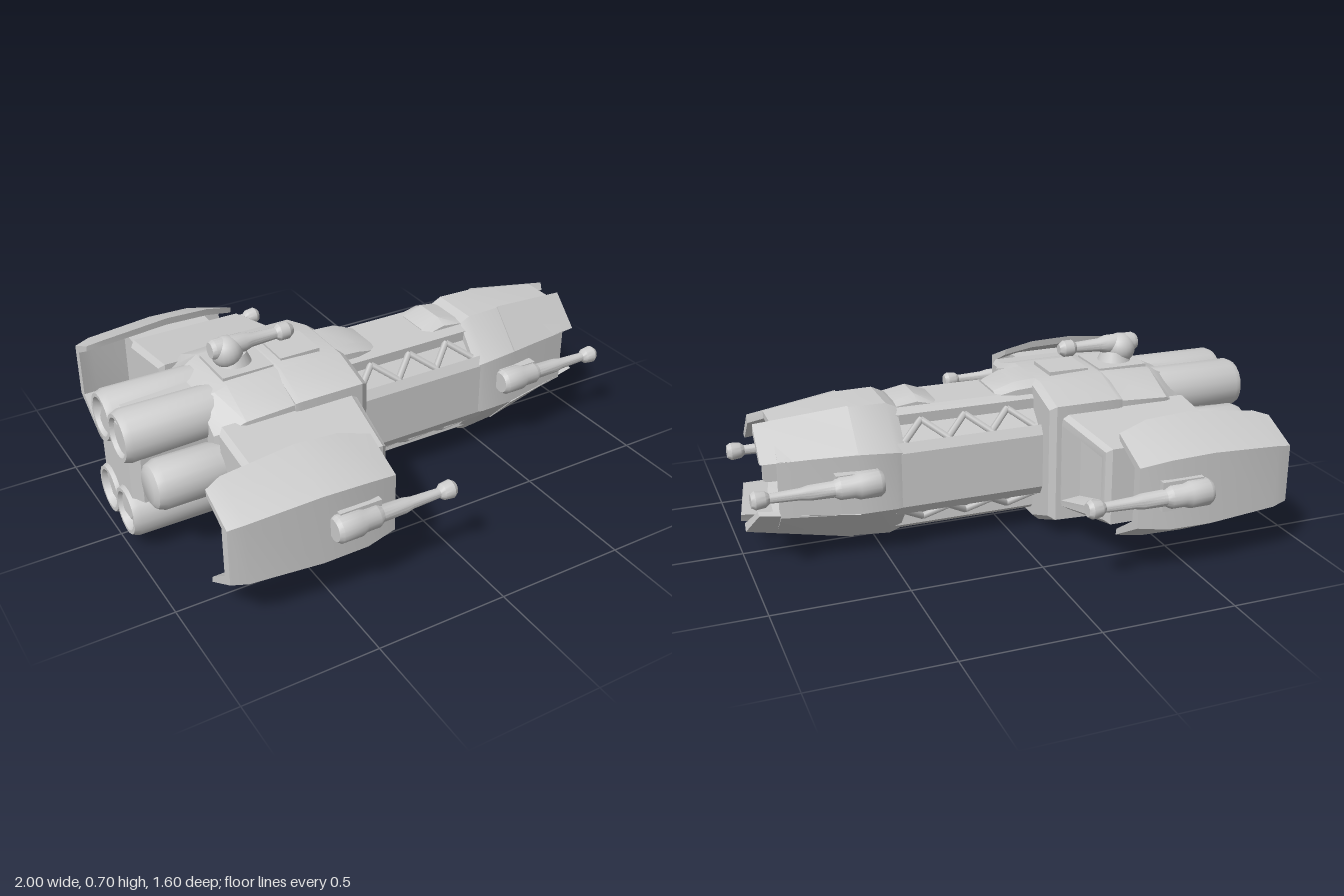
import * as THREE from 'three';
import { toCreasedNormals } from 'three/addons/utils/BufferGeometryUtils.js';

const grey = new THREE.MeshStandardMaterial({ color: 0xcccccc });

export function createModel() {
  const model = new THREE.Group();
  const add = (name, geo, x = 0, y = 0, z = 0) => {
    const mesh = new THREE.Mesh(geo, grey);
    mesh.name = name;
    mesh.position.set(x, y, z);
    model.add(mesh);
    return mesh;
  };
  const box = (name, x0, x1, y0, y1, z0, z1) =>
    add(name, new THREE.BoxGeometry(x1 - x0, y1 - y0, Math.abs(z1 - z0)), (x0 + x1) / 2, (y0 + y1) / 2, (z0 + z1) / 2);

  // Skin rings of [x, y, z] points, rear to front, and close both ends; side -1 mirrors in z
  const loft = (name, rings, side = 1, crease = 0.45) => {
    if (side < 0) rings = rings.map(r => r.map(([x, y, z]) => [x, y, -z]).reverse());
    const n = rings[0].length, pos = rings.flat(2), idx = [];
    for (let k = 0; k + 1 < rings.length; k++)
      for (let i = 0; i < n; i++) {
        const j = (i + 1) % n, a = k * n, b = a + n;
        idx.push(a + i, a + j, b + j, a + i, b + j, b + i);
      }
    const end = (rings.length - 1) * n;
    for (let i = 0; i < n / 2 - 1; i++) {
      const q = [i, i + 1, n - 2 - i, n - 1 - i];
      idx.push(...[0, 1, 2, 0, 2, 3].map(c => end + q[c]), ...[0, 2, 1, 0, 3, 2].map(c => q[c]));
    }
    const geo = new THREE.BufferGeometry();
    geo.setAttribute('position', new THREE.Float32BufferAttribute(pos, 3));
    geo.setIndex(idx);
    return add(name, toCreasedNormals(geo, crease));
  };

  // Symmetric ring from half-profile [z, y] points, top to bottom
  const ring = (x, half) => [...half.map(([z, y]) => [x, y, z]), ...half.map(([z, y]) => [x, y, -z]).reverse()];
  const oct = (x, w, flat, y0, y1, y2, y3) => ring(x, [[flat, y3], [w, y2], [w, y1], [flat, y0]]);

  // Turned part lying along x, profile as [distance forward, radius]
  const turned = (name, profile, x, y, z) => {
    const geo = new THREE.LatheGeometry(profile.map(([d, r]) => new THREE.Vector2(r, d)), 18);
    geo.rotateZ(-Math.PI / 2);
    return add(name, toCreasedNormals(geo, 0.6), x, y, z);
  };
  const strut = (name, a, b, r) =>
    add(name, new THREE.TubeGeometry(new THREE.LineCurve3(new THREE.Vector3(...a), new THREE.Vector3(...b)), 1, r, 6));

  // Main body, with a wider collar in front
  loft('mainBody', [
    oct(-0.7, 0.22, 0.1, 0.07, 0.15, 0.45, 0.54), oct(-0.645, 0.26, 0.12, 0.05, 0.12, 0.48, 0.56),
    oct(-0.6, 0.28, 0.13, 0.005, 0.08, 0.51, 0.58), oct(-0.38, 0.28, 0.13, 0, 0.07, 0.52, 0.585),
  ]);
  loft('collar', [
    oct(-0.41, 0.285, 0.13, 0.005, 0.07, 0.525, 0.58), oct(-0.39, 0.29, 0.13, 0, 0.065, 0.53, 0.588),
    oct(-0.14, 0.29, 0.13, 0.01, 0.075, 0.53, 0.578), oct(-0.115, 0.275, 0.12, 0.03, 0.09, 0.515, 0.56),
  ]);

  // Forward hull with shallow bevel channels
  const hull = [[0.1, 0.537], [0.125, 0.515], [0.122, 0.475], [0.18, 0.415], [0.2, 0.435], [0.22, 0.4],
    [0.22, 0.19], [0.2, 0.155], [0.18, 0.175], [0.122, 0.115], [0.125, 0.075], [0.1, 0.055]];
  loft('forwardHull', [ring(-0.15, hull), ring(0.46, hull)]);
  loft('hullSpine', [oct(-0.14, 0.11, 0.08, 0.5, 0.52, 0.555, 0.58), oct(-0.05, 0.11, 0.08, 0.5, 0.52, 0.55, 0.575),
    oct(0.03, 0.1, 0.07, 0.5, 0.52, 0.53, 0.545)]);
  loft('roofHump', [oct(0.26, 0.1, 0.06, 0.5, 0.51, 0.53, 0.54), oct(0.34, 0.1, 0.06, 0.5, 0.51, 0.55, 0.57),
    oct(0.42, 0.1, 0.06, 0.5, 0.51, 0.54, 0.55)]);
  box('topPanel', -0.36, -0.2, 0.57, 0.595, -0.08, 0.08);
  box('bellyPanel', -0.56, -0.2, 0, 0.03, -0.09, 0.09);

  // Hollow nose
  loft('nose', [
    oct(0.42, 0.215, 0.1, 0.055, 0.19, 0.4, 0.54), oct(0.46, 0.225, 0.1, 0.04, 0.19, 0.41, 0.56),
    oct(0.6, 0.222, 0.095, 0.05, 0.19, 0.42, 0.56), oct(0.88, 0.178, 0.06, 0.09, 0.2, 0.415, 0.53),
    oct(0.88, 0.148, 0.05, 0.115, 0.21, 0.4, 0.505), oct(0.74, 0.14, 0.05, 0.12, 0.21, 0.4, 0.5),
  ]);
  for (const z of [-0.07, 0, 0.07]) box('mouthRib', 0.72, 0.77, 0.14, 0.48, z - 0.014, z + 0.014);

  // Rear nozzles clustered around a full-length hub
  loft('engineHub', [oct(-0.985, 0.13, 0.09, 0.12, 0.18, 0.44, 0.5), oct(-0.95, 0.155, 0.1, 0.085, 0.15, 0.47, 0.535),
    oct(-0.66, 0.165, 0.1, 0.07, 0.14, 0.48, 0.545)]);
  const nozzle = [[0.05, 0], [0.045, 0.05], [0.01, 0.068], [0, 0.074], [0, 0.088], [0.025, 0.099], [0.36, 0.099]];
  for (const y of [0.155, 0.465]) for (const z of [-0.08, 0.08]) turned('nozzle', nozzle, -1, y, z);

  const gunProfile = [[0, 0], [0, 0.04], [0.015, 0.05], [0.09, 0.05], [0.11, 0.042], [0.16, 0.042], [0.18, 0.03],
    [0.27, 0.028], [0.3, 0.022], [0.41, 0.018], [0.425, 0.03], [0.46, 0.034], [0.475, 0.024], [0.475, 0]];

  for (const s of [1, -1]) {
    // Long prongs on the nose bevels
    loft('upperProng', [
      [[0.6, 0.565, 0.095], [0.6, 0.425, 0.226], [0.6, 0.42, 0.2], [0.6, 0.54, 0.08]],
      [[0.94, 0.525, 0.055], [0.94, 0.41, 0.168], [0.94, 0.405, 0.138], [0.94, 0.495, 0.045]],
    ], s);
    loft('lowerProng', [
      [[0.6, 0.19, 0.226], [0.6, 0.045, 0.095], [0.6, 0.07, 0.08], [0.6, 0.2, 0.2]],
      [[0.955, 0.215, 0.165], [0.99, 0.11, 0.05], [0.99, 0.14, 0.04], [0.955, 0.22, 0.135]],
    ], s);

    // Zigzag trusses in the hull channels
    for (const [yIn, yOut] of [[0.49, 0.43], [0.1, 0.16]]) {
      const point = i => [-0.09 + i * 0.085, i % 2 ? yIn : yOut, s * (i % 2 ? 0.125 : 0.188)];
      for (let i = 0; i < 6; i++) strut('trussStrut', point(i), point(i + 1), 0.013);
    }

    // Side engine with a rounded closed end
    turned('sideEngine', [[0, 0], [0, 0.06], [0.012, 0.08], [0.04, 0.092], [0.24, 0.092], [0.28, 0.082], [0.34, 0.082]],
      -0.96, 0.335, s * 0.232);

    // Wing with an open pocket in its front face
    const wing = (xIn, xOut, inset) => [
      [xIn, 0.5 - inset, 0.25 + inset], [xOut, 0.455 - inset, 0.575 - inset],
      [xOut, 0.165 + inset, 0.575 - inset], [xIn, 0.11 + inset, 0.25 + inset]];
    loft('wing', [wing(-0.7, -0.7, 0.02), wing(-0.68, -0.68, 0), wing(-0.18, -0.23, 0), wing(-0.16, -0.21, 0.015),
      wing(-0.16, -0.21, 0.045), wing(-0.23, -0.26, 0.06)], s);

    // Wrapped armour shell at the wing tip
    const shell = (x, k, out, inn) => [[0.235, inn], [0.15, out], [-0.12, out], [-0.235, inn],
      [-0.205, inn + 0.005], [-0.105, out - 0.04], [0.135, out - 0.04], [0.205, inn + 0.005]]
      .map(([y, z]) => [x, 0.305 + y * k, z]);
    loft('wingTipShell', [shell(-0.88, 0.8, 0.7, 0.55), shell(-0.82, 0.88, 0.715, 0.53), shell(-0.55, 1, 0.73, 0.525),
      shell(-0.38, 0.97, 0.732, 0.53), shell(-0.265, 0.84, 0.715, 0.55)], s, 0.35);
    box('wingTipCore', -0.68, -0.34, 0.18, 0.44, s * 0.55, s * 0.7);

    // Side guns and mounts
    turned('wingTipGun', gunProfile, -0.525, 0.325, s * 0.752);
    box('wingTipGunMount', -0.5, -0.34, 0.27, 0.38, s * 0.7, s * 0.75);
    turned('noseGun', gunProfile, 0.52, 0.315, s * 0.248);
    box('noseGunMount', 0.53, 0.69, 0.27, 0.36, s * 0.18, s * 0.245);
  }

  // Roof turret
  box('turretPlate', -0.6, -0.4, 0.56, 0.592, -0.1, 0.1);
  add('turretBase', new THREE.CylinderGeometry(0.048, 0.07, 0.05, 20), -0.51, 0.605, 0);
  add('turretDome', new THREE.SphereGeometry(0.06, 20, 14), -0.535, 0.636, 0);
  turned('turretGun', [[0, 0], [0, 0.03], [0.015, 0.038], [0.13, 0.036], [0.16, 0.026], [0.26, 0.021], [0.275, 0.032],
    [0.31, 0.032], [0.33, 0.018], [0.33, 0]], -0.6, 0.657, 0);

  return model;
}
